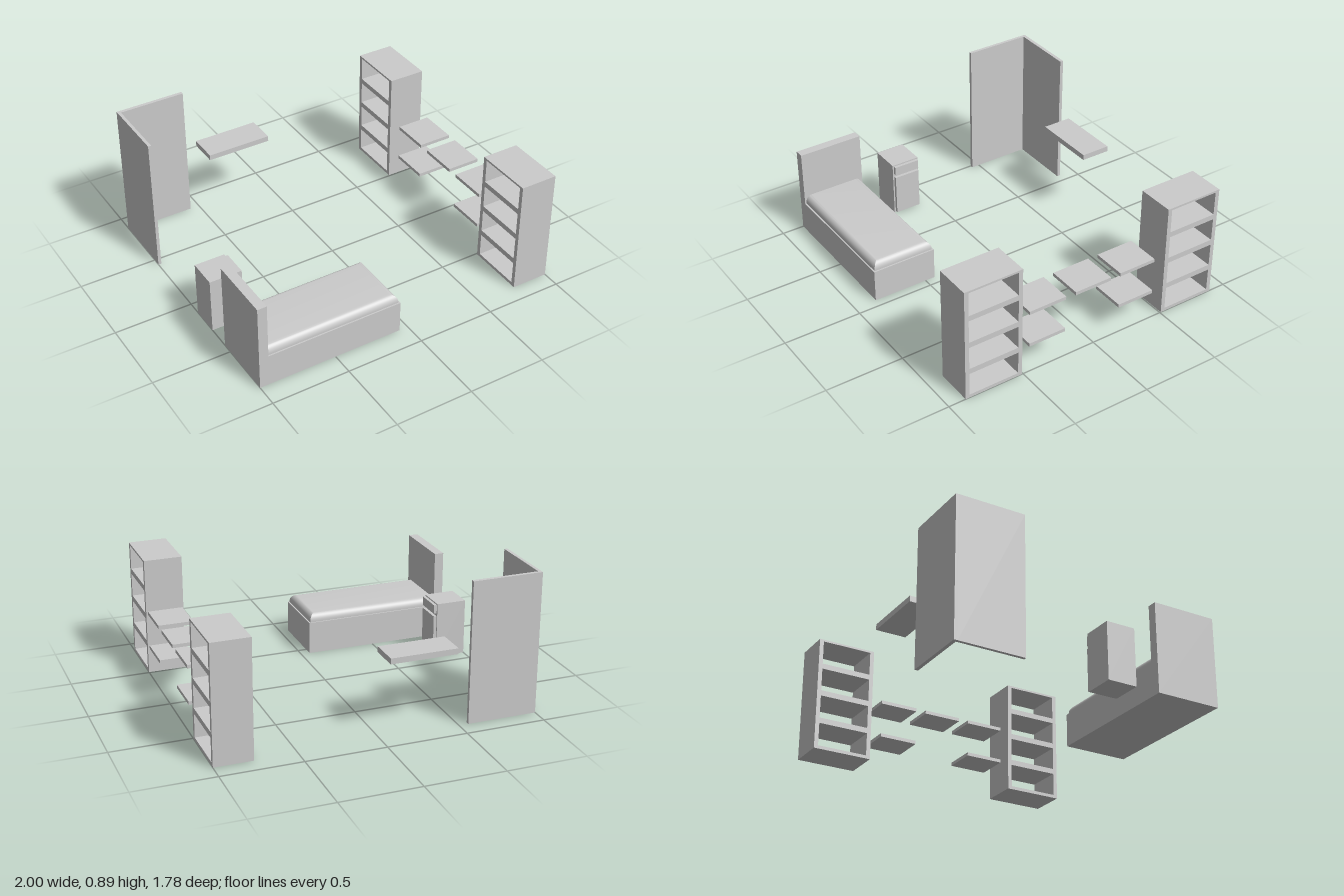
import * as THREE from 'three';
import { toCreasedNormals } from 'three/addons/utils/BufferGeometryUtils.js';

const grey = new THREE.MeshStandardMaterial({ color: 0xcccccc });

// Box given by its extents along each axis
function box(parent, name, [x0, x1], [y0, y1], [z0, z1]) {
  const mesh = new THREE.Mesh(new THREE.BoxGeometry(x1 - x0, y1 - y0, z1 - z0), grey);
  mesh.position.set((x0 + x1) / 2, (y0 + y1) / 2, (z0 + z1) / 2);
  mesh.name = name;
  parent.add(mesh);
  return mesh;
}

function group(parent, name) {
  const g = new THREE.Group();
  g.name = name;
  parent.add(g);
  return g;
}

function rectangle(path, x0, x1, y0, y1) {
  return path.moveTo(x0, y0).lineTo(x1, y0).lineTo(x1, y1).lineTo(x0, y1).closePath();
}

// Open bookcase: one outline with four compartments cut right through
function addBookcase(parent, name, z) {
  const halfWidth = 0.191, side = 0.027, depth = 0.24;
  const shape = rectangle(new THREE.Shape(), -halfWidth, halfWidth, 0, 0.745);
  for (const [y0, y1] of [[0.021, 0.171], [0.207, 0.357], [0.393, 0.542], [0.577, 0.732]]) {
    shape.holes.push(rectangle(new THREE.Path(), -halfWidth + side, halfWidth - side, y0, y1));
  }
  const geo = new THREE.ExtrudeGeometry(shape, { depth, bevelEnabled: false });
  geo.rotateY(Math.PI / 2);
  const mesh = new THREE.Mesh(geo, grey);
  mesh.position.set(1 - depth, 0, z);
  mesh.name = name;
  parent.add(mesh);
}

// Mattress: rectangle with rounded, mitred upper edges, sunk into the base
function addMattress(parent) {
  const bevel = 0.04, rise = 0.048;
  const shape = rectangle(new THREE.Shape(), -0.985 + bevel, -0.067 - bevel, -0.846 + bevel, -0.444 - bevel);
  const geo = new THREE.ExtrudeGeometry(shape, {
    depth: 0.03, bevelSize: bevel, bevelThickness: rise, bevelSegments: 10,
  });
  geo.rotateX(-Math.PI / 2);
  const mesh = new THREE.Mesh(toCreasedNormals(geo, 0.5), grey);
  mesh.position.y = 0.265 - 0.03 - rise;
  mesh.name = 'mattress';
  parent.add(mesh);
}

export function createModel() {
  const model = new THREE.Group();
  model.name = 'bedroomFurniture';

  // Bed
  const bed = group(model, 'bed');
  const bedWidth = [0.435, 0.855];
  box(bed, 'bedBase', [-0.94, -0.057], [0, 0.21], bedWidth);
  box(bed, 'headboard', [-1, -0.94], [0, 0.574], bedWidth);
  addMattress(bed);

  // Nightstand with drawer and door fronts
  const nightstand = group(model, 'nightstand');
  box(nightstand, 'nightstandBody', [-1, -0.805], [0, 0.363], [0.09, 0.279]);
  box(nightstand, 'drawerFront', [-0.805, -0.785], [0.298, 0.355], [0.099, 0.27]);
  box(nightstand, 'doorFront', [-0.805, -0.785], [0.01, 0.278], [0.099, 0.27]);

  // Corner screen and the wall shelf beside it
  const screen = group(model, 'cornerScreen');
  box(screen, 'backPanel', [-1, -0.56], [0, 0.89], [-0.89, -0.868]);
  box(screen, 'sidePanel', [-1, -0.98], [0, 0.89], [-0.868, -0.447]);
  box(model, 'wallShelf', [-0.48, -0.058], [0.457, 0.493], [-0.89, -0.698]);

  // Bookcases at both ends of the side wall
  addBookcase(model, 'frontBookcase', 0.698);
  addBookcase(model, 'backBookcase', -0.698);

  // Floating boards between the bookcases: three above, two below
  const boards = group(model, 'floatingBoards');
  const place = (name, y, z) => box(boards, name, [0.78, 1], [y, y + 0.022], [z - 0.125, z + 0.125]);
  for (const z of [-0.302, 0.016, 0.334]) place('upperBoard', 0.407, z);
  for (const z of [-0.302, 0.334]) place('lowerBoard', 0.179, z);

  return model;
}
